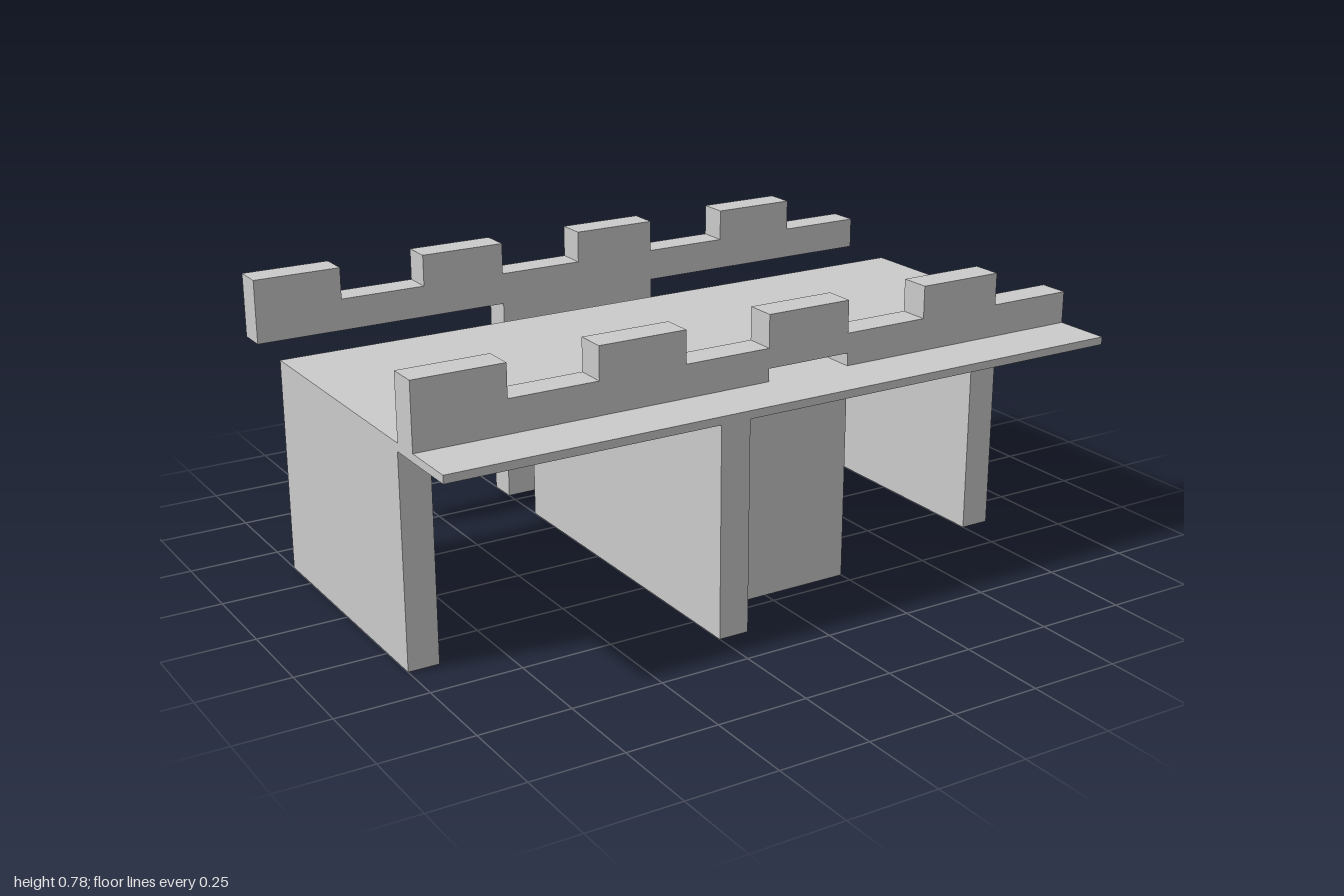
import * as THREE from 'three';

const material = new THREE.MeshStandardMaterial({ color: 0xcccccc, flatShading: true });

const DECK_Y = 0.6, FRONT = 0.622, DECK_BACK = -0.373, UNDER = 0.578;
const WALL = 0.085; // thickness of all walls

// Battlement outline: long bar with merlons on alternate eighths;
// `underside` lists bottom points from left to right.
function battlementShape(underside) {
  const shape = new THREE.Shape();
  shape.moveTo(-1, DECK_Y);
  for (const [x, y] of underside) shape.lineTo(x, y);
  shape.lineTo(1, DECK_Y);
  for (let i = 7; i >= 0; i--) {
    const top = i % 2 ? 0.69 : 0.78;
    shape.lineTo(-1 + (i + 1) * 0.25, top);
    shape.lineTo(-1 + i * 0.25, top);
  }
  shape.closePath();
  return shape;
}

export function createModel() {
  const model = new THREE.Group();

  function add(name, geometry) {
    const mesh = new THREE.Mesh(geometry, material);
    mesh.name = name;
    model.add(mesh);
    return mesh;
  }

  // Box given by its extents on each axis
  function block(name, x0, x1, y0, y1, z0, z1) {
    const geometry = new THREE.BoxGeometry(x1 - x0, y1 - y0, z1 - z0);
    add(name, geometry).position.set((x0 + x1) / 2, (y0 + y1) / 2, (z0 + z1) / 2);
  }

  function battlement(name, z, underside) {
    const geometry = new THREE.ExtrudeGeometry(battlementShape(underside), { depth: WALL, bevelEnabled: false });
    add(name, geometry).position.z = z;
  }

  // Walkway deck
  block('deck', -1, 1, UNDER, DECK_Y, DECK_BACK, FRONT);

  // Supporting walls running front to back
  block('rightWall', -1, -1 + WALL, 0, UNDER, DECK_BACK, 0.373);
  block('centreWall', -0.25, -0.25 + WALL, 0, UNDER, DECK_BACK, FRONT);
  block('leftWall', 0.75, 0.75 + WALL, 0, UNDER, DECK_BACK, 0.373);

  // Cross panel beside the centre wall
  block('frontPanel', -0.25 + WALL, 0.25, 0, UNDER, 0.375, 0.375 + WALL);

  // Front battlement stands on the deck, with a low slot underneath
  battlement('frontBattlement', 0.375, [[0, DECK_Y], [0, 0.635], [0.25, 0.635], [0.25, DECK_Y]]);

  // Rear battlement is separate and carried on its own pier
  battlement('rearBattlement', -0.623, [[-0.25, DECK_Y], [-0.25, 0], [0.25, 0], [0.25, DECK_Y]]);

  return model;
}
